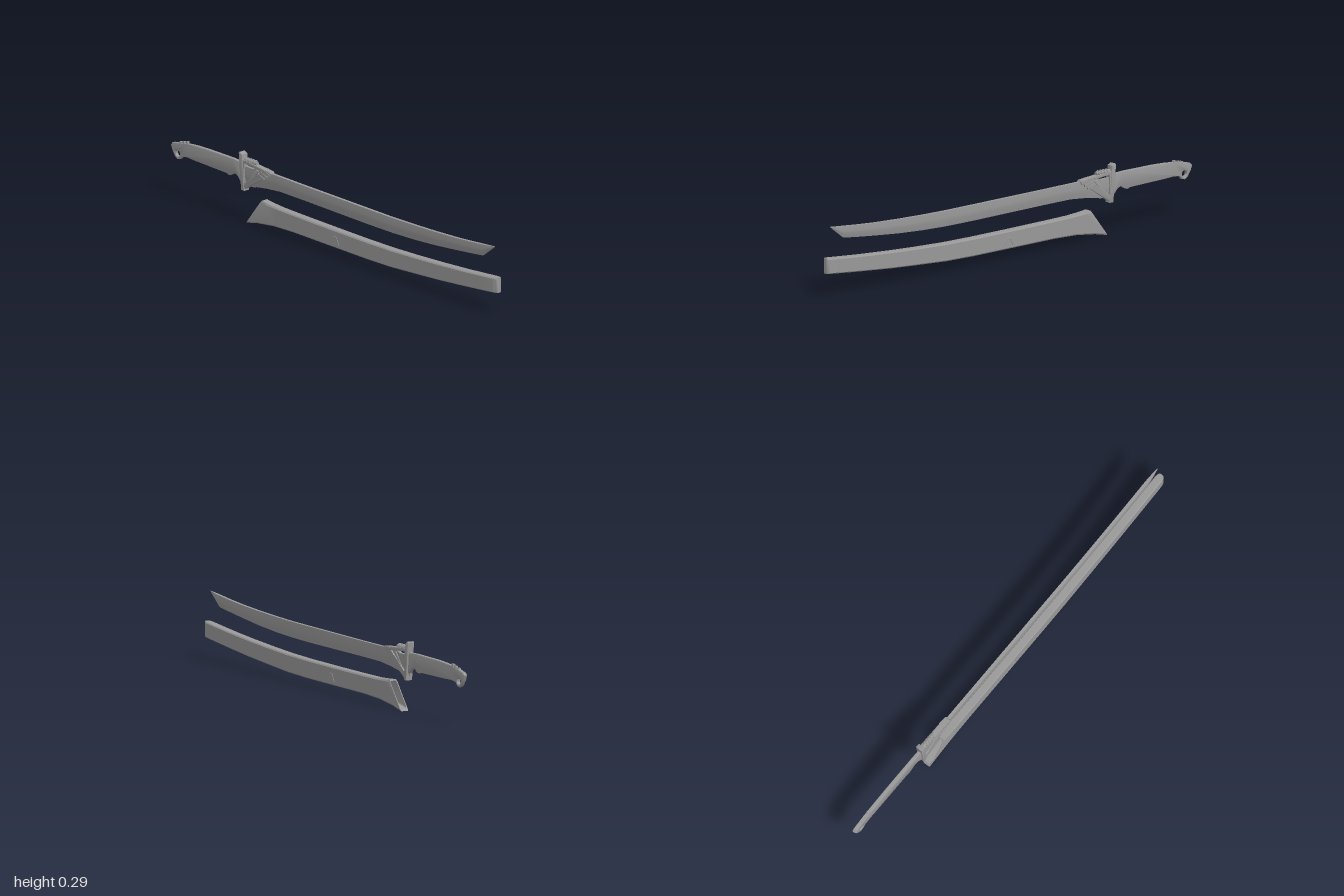
import * as THREE from 'three';
import { toCreasedNormals } from 'three/addons/utils/BufferGeometryUtils.js';

const steel = new THREE.MeshStandardMaterial({ color: 0x999999 });
steel.name = 'grey steel';

function add(parent, name, geometry) {
  const mesh = new THREE.Mesh(geometry, steel);
  mesh.name = name;
  parent.add(mesh);
  return mesh;
}

// Skin through stations [zTop, yTop, zBottom, yBottom, widthScale].
// The profile is an anticlockwise loop of [x, height 0..1].
function loft(stations, profile) {
  const rings = stations.map(([zt, yt, zb, yb, w]) =>
    profile.map(([x, t]) => [x * w, yb + (yt - yb) * t, zb + (zt - zb) * t]));
  const pos = [];
  const tri = (a, b, c) => pos.push(...a, ...b, ...c);
  const n = profile.length;
  for (let i = 0; i < rings.length - 1; i++) {
    for (let j = 0; j < n; j++) {
      const k = (j + 1) % n;
      tri(rings[i][j], rings[i][k], rings[i + 1][k]);
      tri(rings[i][j], rings[i + 1][k], rings[i + 1][j]);
    }
  }
  const first = rings[0], last = rings[rings.length - 1];
  for (let j = 1; j < n - 1; j++) {
    tri(first[0], first[j + 1], first[j]);
    tri(last[0], last[j], last[j + 1]);
  }
  const g = new THREE.BufferGeometry();
  g.setAttribute('position', new THREE.Float32BufferAttribute(pos, 3));
  return toCreasedNormals(g, 0.45);
}

// Outline in (z, y), given thickness along x and centred on it
function plate(points, width, bevel = 0.002, hole) {
  const shape = new THREE.Shape(points.map(([z, y]) => new THREE.Vector2(z, y)));
  if (hole) shape.holes.push(hole);
  const depth = width - 2 * bevel;
  const g = new THREE.ExtrudeGeometry(shape, {
    depth, bevelEnabled: bevel > 0, bevelThickness: bevel, bevelSize: bevel,
    bevelOffset: -bevel, bevelSegments: 2, curveSegments: 20,
  });
  g.translate(0, 0, -depth / 2);
  g.rotateY(-Math.PI / 2);
  return toCreasedNormals(g, 0.5);
}

function path(points) {
  return new THREE.Path(points.map(([z, y]) => new THREE.Vector2(z, y)));
}

function createScabbard() {
  const group = new THREE.Group();
  group.name = 'scabbard';
  const profile = [
    [-0.015, 0], [0.015, 0], [0.018, 0.06], [0.018, 0.93],
    [0.014, 1], [-0.014, 1], [-0.018, 0.93], [-0.018, 0.06],
  ];
  // From the inside of the cavity, around the slanted mouth rim, to the toe
  add(group, 'scabbardBody', loft([
    [0.0, 0.105, 0.0, 0.04, 0.8],
    [-0.38, 0.107, -0.38, 0.035, 0.8],
    [-0.438, 0.112, -0.52, 0.01, 0.82],
    [-0.435, 0.118, -0.528, 0.0, 1],
    [-0.4, 0.114, -0.46, 0.015, 1],
    [-0.33, 0.11, -0.36, 0.028, 1],
    [-0.22, 0.109, -0.24, 0.033, 1],
    [0.0, 0.109, 0.0, 0.034, 1],
    [0.2, 0.11, 0.2, 0.035, 1],
    [0.35, 0.113, 0.35, 0.039, 1],
    [0.5, 0.12, 0.5, 0.049, 1],
    [0.65, 0.129, 0.65, 0.06, 1],
    [0.8, 0.14, 0.8, 0.074, 1],
    [0.9, 0.149, 0.9, 0.084, 1],
    [0.975, 0.156, 0.975, 0.092, 1],
    [0.99, 0.157, 0.99, 0.093, 0.88],
    [0.997, 0.158, 0.997, 0.094, 0.68],
    [1.0, 0.158, 1.0, 0.094, 0.42],
  ], profile));
  // Raised arch on both faces
  add(group, 'scabbardArch', plate([
    [0.042, 0.05], [0.024, 0.083], [0.004, 0.083], [-0.014, 0.05],
    [-0.006, 0.05], [0.008, 0.076], [0.02, 0.076], [0.034, 0.05],
  ], 0.039, 0.001));
  return group;
}

function createBlade() {
  // Flat spine above, long bevel down to the edge
  const profile = [
    [-0.001, 0], [0.001, 0], [0.007, 0.4], [0.008, 0.6],
    [0.0065, 1], [-0.0065, 1], [-0.008, 0.6], [-0.007, 0.4],
  ];
  const stations = [
    [-0.57, 0.235, 0.15], [-0.5, 0.235, 0.155], [-0.48, 0.244, 0.161],
    [-0.42, 0.244, 0.17], [-0.34, 0.244, 0.178], [-0.2, 0.244, 0.179],
    [0.0, 0.245, 0.179], [0.2, 0.246, 0.179], [0.35, 0.247, 0.181],
    [0.47, 0.25, 0.186], [0.6, 0.255, 0.195], [0.73, 0.262, 0.208],
    [0.83, 0.27, 0.219], [0.902, 0.277, 0.228],
  ].map(([z, t, b]) => [z, t, z, b, 1]);
  stations.push([0.94, 0.281, 0.94, 0.257, 0.7], [0.972, 0.285, 0.972, 0.282, 0.15]);
  return loft(stations, profile);
}

function createHandle() {
  const group = new THREE.Group();
  group.name = 'handle';
  const eye = new THREE.Path().absarc(-0.957, 0.183, 0.013, 0, Math.PI * 2, true);
  add(group, 'grip', plate([
    [-0.555, 0.245], [-0.62, 0.249], [-0.7, 0.248], [-0.78, 0.247], [-0.85, 0.244],
    [-0.9, 0.239], [-0.95, 0.231], [-0.99, 0.222], [-1.0, 0.212], [-0.992, 0.192],
    [-0.975, 0.167], [-0.96, 0.158], [-0.943, 0.162], [-0.932, 0.176], [-0.9, 0.18],
    [-0.85, 0.178], [-0.75, 0.177], [-0.66, 0.176], [-0.645, 0.171], [-0.63, 0.176],
    [-0.61, 0.19], [-0.59, 0.18], [-0.575, 0.163], [-0.555, 0.155],
  ], 0.016, 0.003, eye));
  // Small ridges on top of the pommel
  for (let i = 0; i < 3; i++) {
    const ridge = add(group, 'pommelRidge', new THREE.BoxGeometry(0.012, 0.012, 0.012));
    ridge.position.set(0, 0.24 - i * 0.005, -0.905 - i * 0.02);
    ridge.rotation.x = -0.2;
  }
  return group;
}

function createGuard() {
  const group = new THREE.Group();
  group.name = 'guard';
  // Upright bar, wider at its head
  add(group, 'guardUpright', plate([
    [-0.544, 0.131], [-0.562, 0.131], [-0.577, 0.288], [-0.572, 0.292], [-0.556, 0.284],
  ], 0.03));
  // Triangular frame pointing along the blade
  add(group, 'guardFrame', plate([
    [-0.555, 0.14], [-0.54, 0.14], [-0.385, 0.242], [-0.39, 0.25], [-0.555, 0.262],
  ], 0.024, 0.002, path([
    [-0.545, 0.165], [-0.545, 0.248], [-0.44, 0.24],
  ])));
  // Inner strut
  add(group, 'guardStrut', plate([
    [-0.53, 0.17], [-0.515, 0.17], [-0.46, 0.236], [-0.475, 0.24],
  ], 0.02));
  // Bound roller on the upper bar
  const roller = add(group, 'guardRoller', new THREE.CylinderGeometry(0.008, 0.008, 0.075, 16));
  roller.rotation.x = Math.PI / 2;
  roller.position.set(0, 0.262, -0.515);
  for (let i = 0; i < 4; i++) {
    const ring = add(group, 'rollerRing', new THREE.TorusGeometry(0.009, 0.0035, 8, 18));
    ring.position.set(0, 0.262, -0.49 - i * 0.015);
  }
  // Slanted ribs at the front corner
  for (let i = 0; i < 3; i++) {
    const rib = add(group, 'guardRib', new THREE.BoxGeometry(0.028, 0.007, 0.04));
    rib.position.set(0, 0.242 - i * 0.012, -0.41 - i * 0.016);
    rib.rotation.x = 0.35;
  }
  return group;
}

export function createModel() {
  const model = new THREE.Group();
  model.name = 'swordAndScabbard';
  const sword = new THREE.Group();
  sword.name = 'sword';
  add(sword, 'blade', createBlade());
  sword.add(createHandle(), createGuard());
  model.add(sword, createScabbard());
  return model;
}
